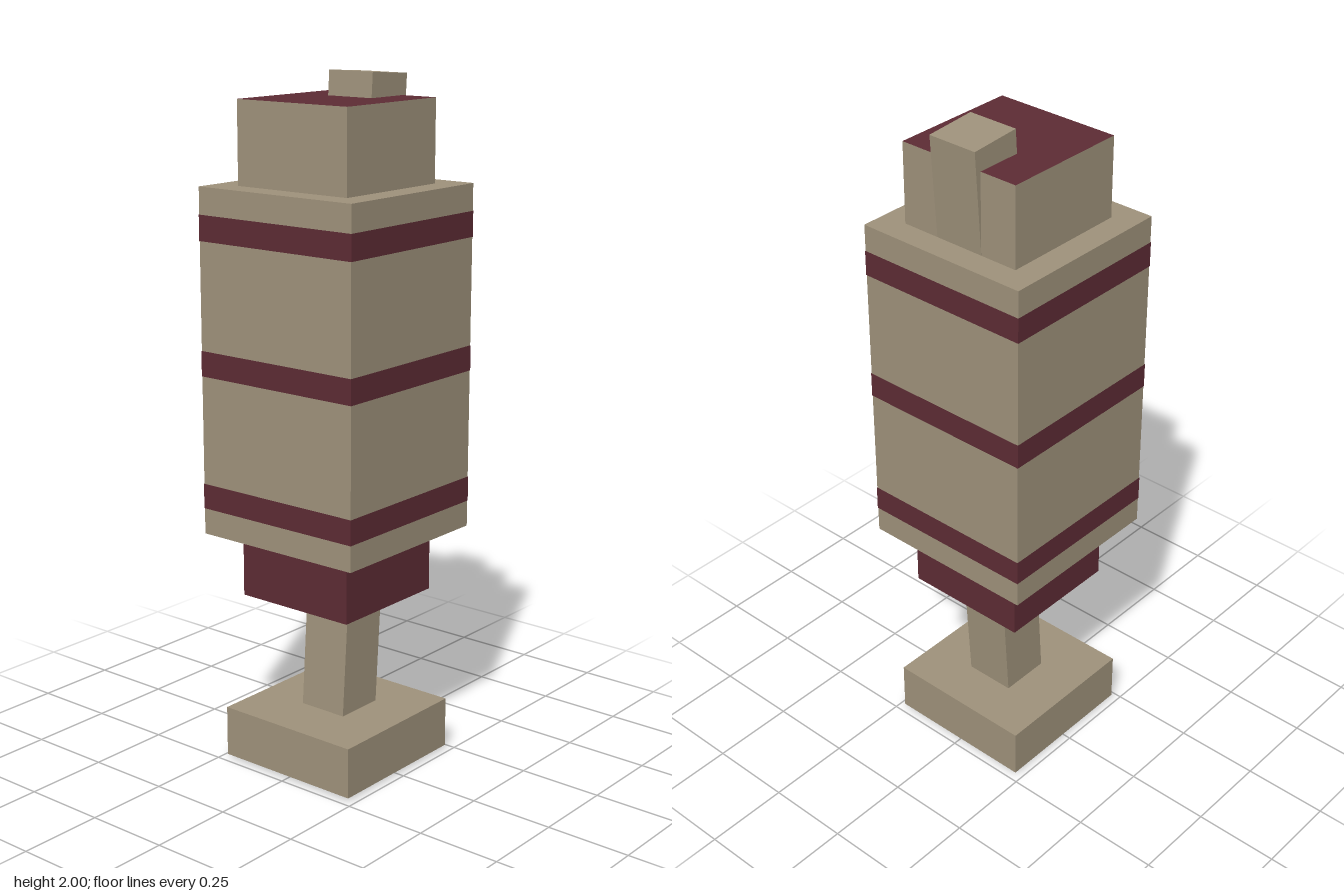
import * as THREE from 'three';

export function createModel() {
  const model = new THREE.Group();
  const tan = new THREE.MeshStandardMaterial({ color: 0xa0937c });
  tan.name = 'tan';
  const maroon = new THREE.MeshStandardMaterial({ color: 0x5e2c35 });
  maroon.name = 'maroon';

  const add = (name, geometry, material, x, y) => {
    const mesh = new THREE.Mesh(geometry, material);
    mesh.name = name;
    mesh.position.set(x, y, 0);
    model.add(mesh);
    return mesh;
  };
  // Square block given by its half width and its bottom and top heights
  const block = (name, half, y0, y1, material) =>
    add(name, new THREE.BoxGeometry(half * 2, y1 - y0, half * 2), material, 0, (y0 + y1) / 2);

  // Foot, neck and main body
  block('foot', 0.23, 0.01, 0.16, tan);
  block('neck', 0.191, 0.51, 0.7, maroon);
  block('body', 0.268, 0.7, 1.695, tan);

  // Cap with a coloured top face
  block('cap', 0.192, 1.695, 1.93, [tan, tan, maroon, tan, tan, tan]);

  // Painted bands: open square rings just proud of the body
  for (const [y0, y1] of [[0.776, 0.849], [1.163, 1.236], [1.545, 1.618]]) {
    const r = 0.269 * Math.SQRT2;
    const ring = new THREE.CylinderGeometry(r, r, y1 - y0, 4, 1, true).rotateY(Math.PI / 4).toNonIndexed();
    ring.computeVertexNormals();
    add('band', ring, maroon, 0, (y0 + y1) / 2);
  }

  // Slightly leaning rod running through the whole model
  const rod = add('rod', new THREE.BoxGeometry(0.153, 1.994, 0.153), tan, 0.068, 1);
  rod.rotation.z = -0.068;

  return model;
}
